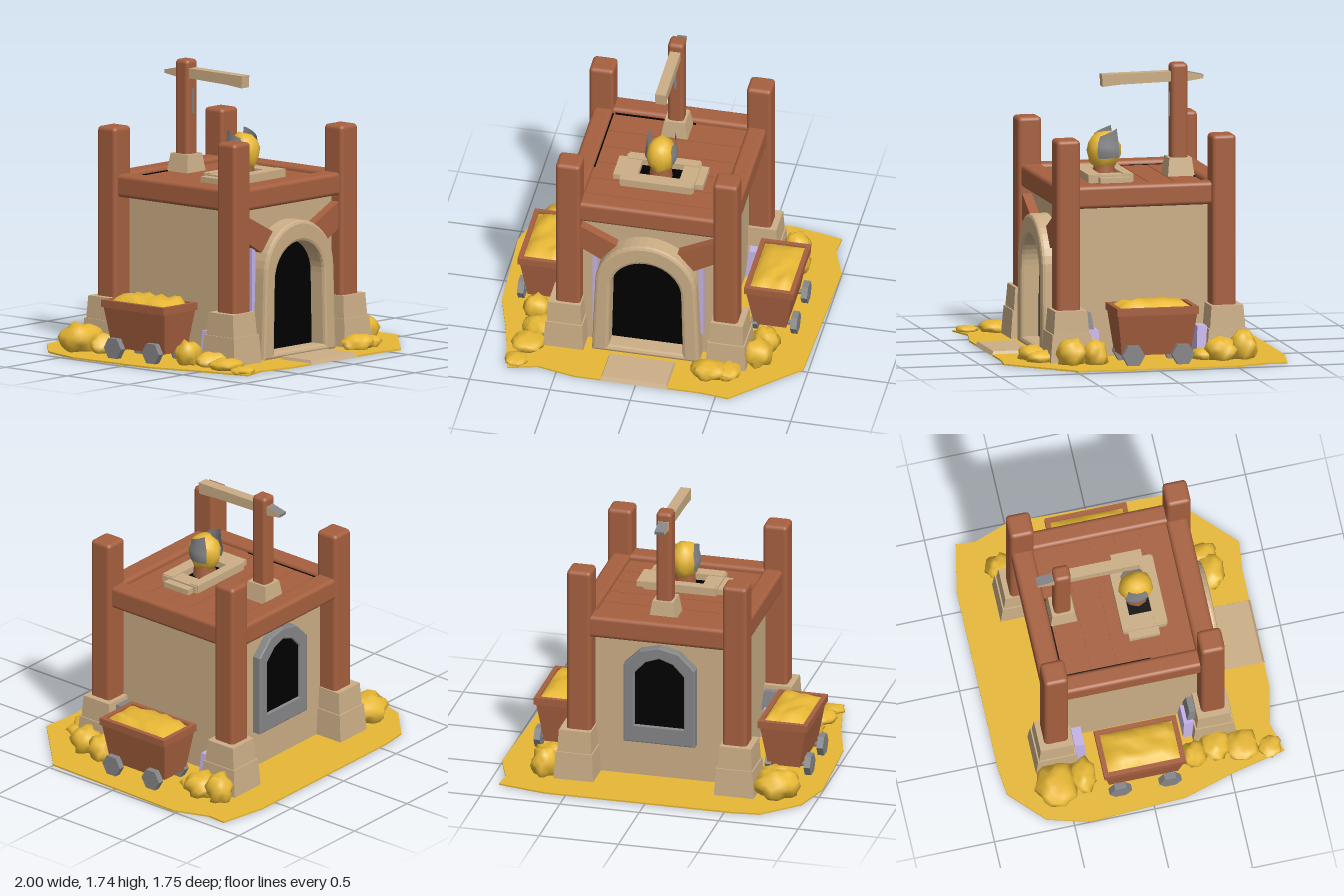
import * as THREE from 'three';
import { RoundedBoxGeometry } from 'three/addons/geometries/RoundedBoxGeometry.js';
import { mergeVertices } from 'three/addons/utils/BufferGeometryUtils.js';

const material = (name, color) => {
  const m = new THREE.MeshStandardMaterial({ color });
  m.name = name;
  return m;
};

export function createModel() {
  const model = new THREE.Group();
  model.name = 'goldMine';
  const wood = material('wood', 0xa6603f);
  const stone = material('sandstone', 0xcbae86);
  const gold = material('gold', 0xfbc83b);
  const iron = material('iron', 0x868688);
  iron.side = THREE.DoubleSide;
  const dark = material('darkOpening', 0x000000);
  const lilac = material('lilacStone', 0xc6b4ea);

  let seed = 7;
  const rnd = () => (seed = (seed * 16807) % 2147483647) / 2147483647;

  const add = (name, geo, mat, x = 0, y = 0, z = 0, parent = model) => {
    const mesh = new THREE.Mesh(geo, mat);
    mesh.name = name;
    mesh.position.set(x, y, z);
    parent.add(mesh);
    return mesh;
  };
  // box given by its extents
  const block = (name, mat, x0, x1, y0, y1, z0, z1, parent = model) =>
    add(name, new THREE.BoxGeometry(x1 - x0, y1 - y0, z1 - z0), mat,
      (x0 + x1) / 2, (y0 + y1) / 2, (z0 + z1) / 2, parent);
  // timber with softened edges
  const timber = (name, x0, x1, y0, y1, z0, z1) =>
    add(name, new RoundedBoxGeometry(x1 - x0, y1 - y0, z1 - z0, 2, 0.025), wood,
      (x0 + x1) / 2, (y0 + y1) / 2, (z0 + z1) / 2);
  // box standing on its base, with a different size at the top
  const taper = (wBottom, dBottom, wTop, dTop, h) => {
    const geo = new THREE.BoxGeometry(1, h, 1).translate(0, h / 2, 0);
    const p = geo.attributes.position;
    for (let i = 0; i < p.count; i++) {
      const top = p.getY(i) > h / 2;
      p.setX(i, p.getX(i) * (top ? wTop : wBottom));
      p.setZ(i, p.getZ(i) * (top ? dTop : dBottom));
    }
    geo.computeVertexNormals();
    return geo;
  };
  // smooth irregular lump, cut flat at the floor height
  const lump = (rx, ry, rz, rough, floor) => {
    const ball = new THREE.IcosahedronGeometry(1, 2);
    ball.deleteAttribute('normal');
    ball.deleteAttribute('uv');
    const geo = mergeVertices(ball);
    const p = geo.attributes.position, k = rnd() * 6;
    const v = new THREE.Vector3();
    for (let i = 0; i < p.count; i++) {
      v.fromBufferAttribute(p, i);
      const s = 1 + rough * Math.sin(v.x * 5 + k) * Math.cos(v.y * 4 - k + v.z * 5);
      p.setXYZ(i, v.x * s * rx, Math.max(v.y * s * ry, floor), v.z * s * rz);
    }
    geo.computeVertexNormals();
    return geo;
  };
  const outline = (pts) => new THREE.Shape(pts.map(([x, y]) => new THREE.Vector2(x, y)));
  const extrude = (shape, depth, bevel = 0) => new THREE.ExtrudeGeometry(shape, {
    depth, curveSegments: 10, bevelEnabled: bevel > 0, bevelSize: bevel,
    bevelThickness: bevel, bevelOffset: -bevel, bevelSegments: 2,
  });

  // ground sheet
  const edge = [[-0.55, -0.88], [0.63, -0.88], [0.93, -0.82], [0.92, -0.7], [1, -0.48], [0.97, 0.5],
    [0.93, 0.53], [0.58, 0.87], [0.4, 0.85], [-0.38, 0.85], [-0.62, 0.8], [-0.8, 0.85],
    [-0.82, 0.76], [-0.88, 0.5], [-0.97, 0.2], [-1, -0.4], [-0.93, -0.66], [-0.72, -0.86]];
  add('goldGround', extrude(outline(edge.map(([x, z]) => [x, -z])), 0.01).rotateX(-Math.PI / 2), gold, 0, 0.004);

  // floor pieces showing under the ground
  for (let i = 0; i < 3; i++) block('floorBoard', wood, -0.34 + i * 0.17, -0.19 + i * 0.17, 0.001, 0.006, -0.26, 0.26);
  block('floorStone', stone, 0.0, 0.19, 0.0005, 0.005, 0.12, 0.34);
  block('floorHole', dark, 0.02, 0.1, 0, 0.005, 0.17, 0.26);

  // loose gold: x, z, radius x, height, radius z
  [[0.7, 0.33, 0.085, 0.16, 0.075], [0.42, 0.66, 0.11, 0.1, 0.08], [0.53, 0.63, 0.08, 0.08, 0.09],
    [0.68, 0.47, 0.09, 0.17, 0.09], [-0.73, 0.3, 0.08, 0.16, 0.075], [-0.68, 0.44, 0.1, 0.1, 0.09],
    [-0.76, 0.77, 0.07, 0.05, 0.07], [-0.72, 0.6, 0.1, 0.08, 0.1], [-0.75, -0.56, 0.14, 0.18, 0.12],
    [-0.71, -0.39, 0.11, 0.13, 0.08], [0.7, -0.6, 0.08, 0.19, 0.08], [0.7, -0.46, 0.1, 0.15, 0.1],
    [0.66, -0.36, 0.08, 0.08, 0.07]]
    .forEach(([x, z, rx, h, rz]) =>
      add('goldPile', lump(rx, h * 0.56, rz, 0.22, 0.008 - h * 0.42), gold, x, h * 0.42, z));

  // house body and roof deck
  block('walls', stone, -0.43, 0.43, 0.006, 0.97, -0.47, 0.45);
  block('roofDeck', wood, -0.46, 0.46, 0.96, 1.045, -0.5, 0.43);
  for (let i = -2; i <= 2; i++) block('roofPlank', wood, -0.42, 0.42, 1.04, 1.05, i * 0.16 - 0.11, i * 0.16 + 0.045);
  block('roofGap', dark, -0.42, -0.41, 1.045, 1.053, -0.44, 0.1);
  block('roofGap', dark, -0.4, 0.1, 1.045, 1.053, -0.452, -0.442);
  block('beamGap', dark, -0.4, 0.36, 0.932, 0.945, 0.45, 0.456);

  // corner posts, footings and side beams
  for (const s of [-1, 1]) {
    for (const [zPost, zFoot, inner] of [[0.46, 0.455, -1], [-0.517, -0.525, 1]]) {
      timber('cornerPost', s * 0.49 - 0.077, s * 0.49 + 0.077, 0.02, 1.37, zPost - 0.075, zPost + 0.075);
      add('footingBase', taper(0.25, 0.27, 0.23, 0.24, 0.18), stone, s * 0.505, 0.006, zFoot);
      add('footing', taper(0.22, 0.23, 0.2, 0.2, 0.19), stone, s * 0.505, 0.135, zFoot);
      add('footingLilacStone', taper(0.16, 0.08, 0.12, 0.06, 0.19), lilac, s * 0.51, 0.01, zFoot + inner * 0.15);
    }
    add('footingIronChip', taper(0.13, 0.08, 0.1, 0.04, 0.12), iron, s * 0.49, 0.18, 0.335);
    timber('sideBeam', s * 0.478 - 0.06, s * 0.478 + 0.06, 0.94, 1.08, -0.48, 0.42);
    // front braces beside the arch
    const brace = [[0.43, 0.91], [0.19, 0.79], [0.29, 0.67], [0.43, 0.75]].map(([x, y]) => [s * x, y]);
    add('frontBrace', extrude(outline(brace), 0.09), wood, 0, 0, 0.42);
    block('archLilacEdge', lilac, s * 0.33 - 0.016, s * 0.33 + 0.016, 0.17, 0.7, 0.44, 0.48);
  }
  timber('frontBeam', -0.44, 0.44, 0.94, 1.08, 0.38, 0.515);
  timber('backBeam', -0.44, 0.44, 0.94, 1.08, -0.585, -0.45);

  // front doorway
  const arch = (r, yc, y0, flare) => {
    const s = new THREE.Shape();
    s.moveTo(-r - flare, y0);
    s.lineTo(r + flare, y0);
    s.lineTo(r, yc);
    s.absarc(0, yc, r, 0, Math.PI, false);
    s.closePath();
    return s;
  };
  const archFrame = arch(0.315, 0.525, 0.006, 0.02);
  archFrame.holes.push(arch(0.22, 0.49, 0.05, 0.01));
  add('doorArch', extrude(archFrame, 0.1, 0.02), stone, 0, 0, 0.445);
  add('doorOpening', new THREE.ShapeGeometry(arch(0.245, 0.5, 0.03, 0)), dark, 0, 0, 0.453);
  add('doorstep', taper(0.42, 0.26, 0.4, 0.23, 0.026), stone, -0.01, 0.006, 0.725);

  // back window
  const pane = (w, y0, y1, y2) => outline([[-w, y0], [w, y0], [w, y1], [w * 0.55, y2 - 0.03],
    [0, y2], [-w * 0.55, y2 - 0.03], [-w, y1]]);
  const windowShape = pane(0.225, 0.25, 0.76, 0.89);
  windowShape.holes.push(pane(0.155, 0.365, 0.71, 0.815));
  const windowFrame = add('windowFrame', extrude(windowShape, 0.05, 0.008), iron, 0, 0, -0.468);
  windowFrame.rotation.y = Math.PI;
  const windowPane = add('windowOpening', new THREE.ShapeGeometry(pane(0.18, 0.34, 0.72, 0.83)), dark, 0, 0, -0.51);
  windowPane.rotation.y = Math.PI;

  // roof shaft: stone curb around a dark hole
  block('shaftCurb', stone, -0.22, 0.22, 1.04, 1.1, 0.17, 0.25);
  block('shaftCurb', stone, -0.22, 0.22, 1.04, 1.1, -0.03, 0.03);
  for (const s of [-1, 1]) {
    block('shaftCurb', stone, s * 0.18 - 0.05, s * 0.18 + 0.05, 1.04, 1.095, -0.02, 0.24);
    block('shaftEndStone', stone, s * 0.245 - 0.035, s * 0.245 + 0.035, 1.04, 1.085, 0, 0.19);
  }
  block('shaftOpening', dark, -0.14, 0.14, 1.05, 1.058, 0.02, 0.18);

  // gold nugget between two curved iron jaws with flared tips
  add('nuggetStand', new THREE.CylinderGeometry(0.06, 0.075, 0.12, 8), wood, 0, 1.1, 0.1);
  add('nugget', lump(0.09, 0.12, 0.105, 0.08, -0.12), gold, 0, 1.215, 0.1);
  for (const s of [-1, 1]) {
    const jaw = new THREE.SphereGeometry(1, 4, 4, (s > 0 ? Math.PI : 0) - 0.65, 1.3, 0.85, 1.15);
    const p = jaw.attributes.position;
    for (let i = 0; i < p.count; i++) {
      const tip = p.getY(i) > 0.6 ? 1 : 0;
      p.setXYZ(i, p.getX(i) * 0.1 + tip * s * 0.015, p.getY(i) * 0.12 + tip * (0.03 - p.getZ(i) * 0.05), p.getZ(i) * 0.115);
    }
    jaw.computeVertexNormals();
    add('ironJaw', jaw, iron, 0, 1.225, 0.09);
  }

  // crane
  add('craneFooting', taper(0.17, 0.17, 0.13, 0.14, 0.12), stone, 0, 1.04, -0.365);
  timber('cranePost', -0.05, 0.05, 1.06, 1.74, -0.418, -0.312);
  const boom = outline([[0.115, 1.61], [0.12, 1.685], [-0.38, 1.69], [-0.42, 1.685], [-0.42, 1.63], [0, 1.62]]);
  add('craneBoom', extrude(boom, 0.066).rotateY(-Math.PI / 2), stone, 0.033);
  const tail = outline([[-0.41, 1.685], [-0.52, 1.66], [-0.515, 1.64], [-0.41, 1.625]]);
  add('craneBoomTail', extrude(tail, 0.06).rotateY(-Math.PI / 2), [stone, iron], 0.03);
  block('craneSlot', iron, -0.008, 0.008, 1.41, 1.56, -0.313, -0.308);

  // ore carts on both sides
  for (const s of [-1, 1]) {
    const cart = new THREE.Group();
    cart.name = s > 0 ? 'leftCart' : 'rightCart';
    cart.position.set(s * 0.705 - 0.008, 0, -0.03);
    model.add(cart);
    add('cartBody', taper(0.2, 0.43, 0.29, 0.5, 0.27), wood, 0, 0.07, 0, cart);
    for (const e of [-1, 1]) {
      block('cartRim', wood, e * 0.14 - 0.015, e * 0.14 + 0.015, 0.32, 0.365, -0.255, 0.255, cart);
      block('cartRim', wood, -0.15, 0.15, 0.32, 0.365, e * 0.24 - 0.015, e * 0.24 + 0.015, cart);
      add('cartAxle', new THREE.CylinderGeometry(0.015, 0.015, 0.24, 6).rotateZ(Math.PI / 2), iron, s * 0.03, 0.07, e * 0.155, cart);
      for (const x of [-0.1, 0.145]) {
        add('cartWheel', new THREE.CylinderGeometry(0.07, 0.07, 0.04, 6).rotateZ(Math.PI / 2).toNonIndexed(), iron, s * x, 0.075, e * 0.155, cart)
          .geometry.computeVertexNormals();
      }
    }
    // heaped ore
    const heap = new THREE.PlaneGeometry(0.26, 0.46, 6, 9).rotateX(-Math.PI / 2);
    const p = heap.attributes.position;
    for (let i = 0; i < p.count; i++) {
      const border = Math.abs(p.getX(i)) > 0.12 || Math.abs(p.getZ(i)) > 0.22;
      p.setY(i, border ? 0.35 : 0.375 + rnd() * 0.03);
    }
    heap.computeVertexNormals();
    add('cartOre', heap, gold, 0, 0, 0, cart);
  }
  return model;
}
